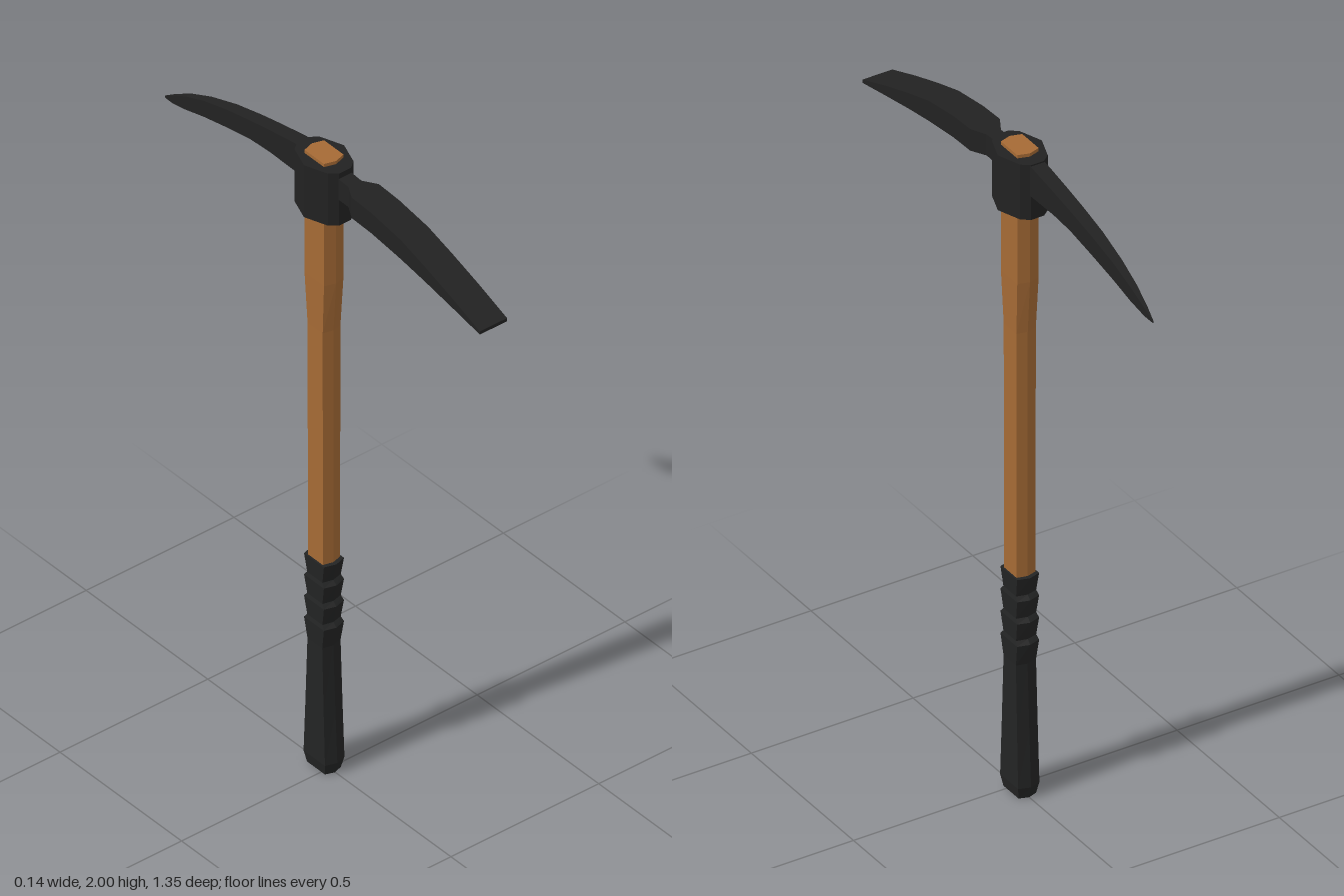
import * as THREE from 'three';

const wood = new THREE.MeshStandardMaterial({ color: 0xa56a35, flatShading: true });
const iron = new THREE.MeshStandardMaterial({ color: 0x222222, flatShading: true });
const rubber = new THREE.MeshStandardMaterial({ color: 0x232424, flatShading: true });

const AXIS_Z = -0.022; // the handle sits slightly behind the centre

// Skins a list of equal-sized rings of [x, y, z] and caps both ends
function loft(name, rings, material) {
  const n = rings[0].length;
  const index = [];
  for (let r = 0; r < rings.length - 1; r++) {
    for (let i = 0; i < n; i++) {
      const a = r * n + i, b = r * n + (i + 1) % n;
      index.push(a, a + n, b, a + n, b + n, b);
    }
  }
  const last = (rings.length - 1) * n;
  for (let i = 1; i < n - 1; i++) {
    index.push(0, i, i + 1, last, last + i + 1, last + i);
  }
  const indexed = new THREE.BufferGeometry();
  indexed.setAttribute('position', new THREE.Float32BufferAttribute(rings.flat(2), 3));
  indexed.setIndex(index);
  const geometry = indexed.toNonIndexed();
  geometry.computeVertexNormals();
  const mesh = new THREE.Mesh(geometry, material);
  mesh.name = name;
  return mesh;
}

// Six-sided shaft section: flat flanks, shallow ridge front and back
const hexRing = ([y, w, d]) =>
  [[1, -0.8], [1, 0.8], [0, 1], [-1, 0.8], [-1, -0.8], [0, -1]]
    .map(([x, z]) => [x * w, y, AXIS_Z + z * d]);

// Blade section; side +1 runs forward, -1 runs backward
const bladeRing = (side) => ([z, top, bottom, w]) =>
  [[w, top], [w, bottom], [-w, bottom], [-w, top]].map(([x, y]) => [x * side, y, z * side]);

export function createModel() {
  const group = new THREE.Group();
  group.name = 'pickaxe';

  // Wooden shaft, swelling towards the head: [y, half width, half depth]
  group.add(loft('shaft', [
    [0.6, 0.029, 0.038], [1.44, 0.03, 0.039], [1.6, 0.033, 0.05], [2, 0.033, 0.05],
  ].map(hexRing), wood));

  // Grip with a rounded butt and four flared ridges
  const grip = [[0, 0.027, 0.046], [0.035, 0.033, 0.055], [0.2, 0.032, 0.047], [0.41, 0.031, 0.038]];
  for (let i = 0; i < 4; i++) {
    const top = 0.475 + i * 0.069;
    grip.push([top, 0.034, 0.051]);
    if (i < 3) grip.push([top + 0.012, 0.031, 0.039]);
  }
  group.add(loft('grip', grip.map(hexRing), rubber));

  // Faceted eye around the shaft
  const quarter = [[0.068, 0], [0.043, 0.069], [0.02, 0.087]];
  const half = [...quarter, ...quarter.slice(1).reverse().map(([x, z]) => [-x, z])];
  const section = [...half, ...half.map(([x, z]) => [-x, -z])];
  group.add(loft('eye', [1.82, 1.99].map((y) =>
    section.map(([x, z]) => [x, y, AXIS_Z + z])), iron));

  // Flat adze blade: [distance, top, bottom, half width]
  group.add(loft('adzeBlade', [
    [0.03, 1.975, 1.905, 0.022], [0.105, 1.97, 1.905, 0.022], [0.148, 1.972, 1.905, 0.046],
    [0.23, 1.968, 1.902, 0.046], [0.35, 1.95, 1.888, 0.046], [0.45, 1.92, 1.872, 0.046],
    [0.56, 1.883, 1.852, 0.046], [0.675, 1.84, 1.83, 0.046],
  ].map(bladeRing(1)), iron));

  // Tapered pick point
  group.add(loft('pickPoint', [
    [0.07, 1.988, 1.895, 0.022], [0.12, 1.985, 1.895, 0.022], [0.22, 1.967, 1.896, 0.021],
    [0.3, 1.951, 1.89, 0.02], [0.4, 1.928, 1.87, 0.018], [0.5, 1.897, 1.845, 0.014],
    [0.58, 1.863, 1.82, 0.01], [0.64, 1.829, 1.804, 0.005], [0.675, 1.806, 1.8, 0.001],
  ].map(bladeRing(-1)), iron));

  return group;
}
